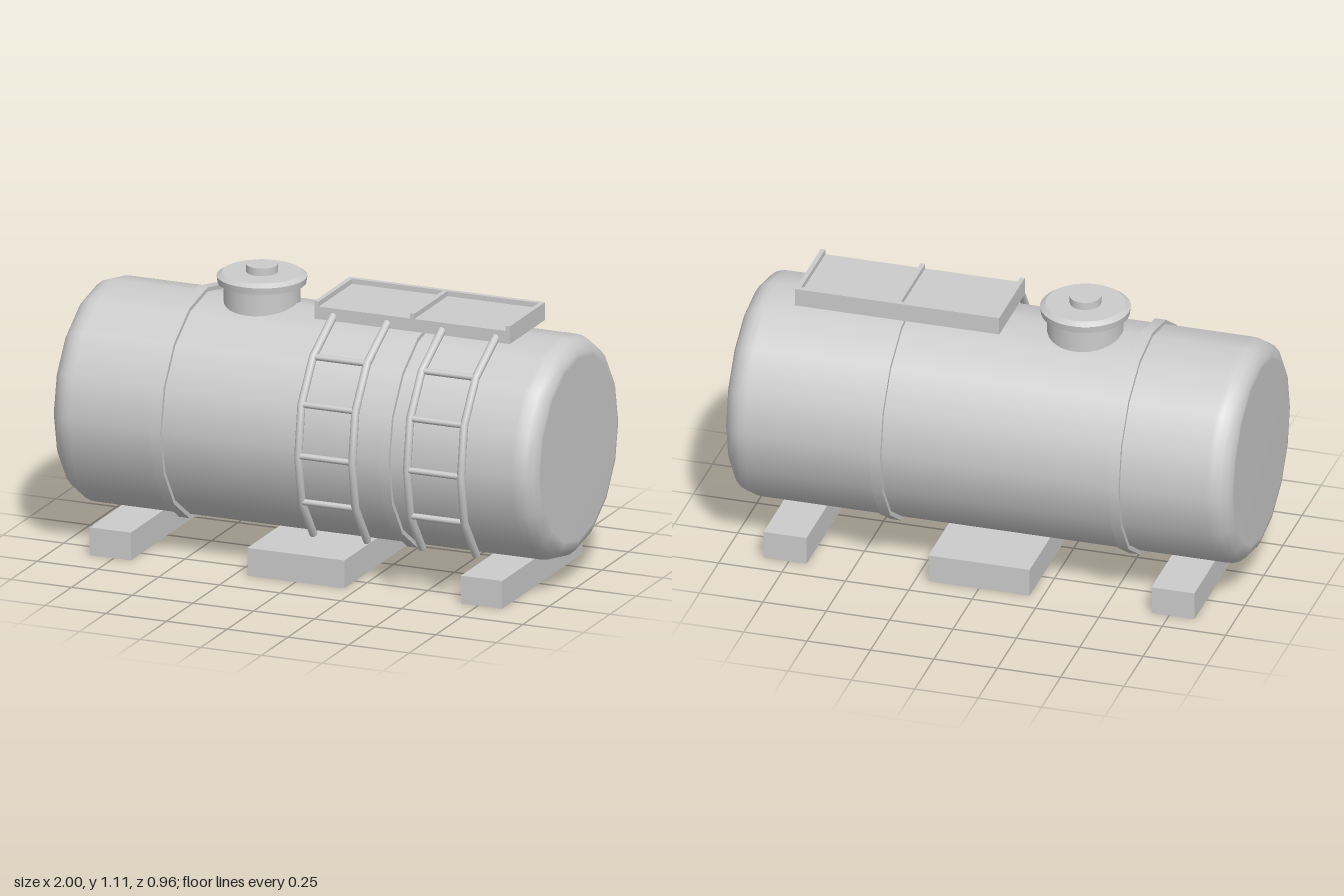
import * as THREE from 'three';

const CY = 0.5415, CZ = -0.03;

// Straight-segment path with averaged tangents at the bends
class Polyline extends THREE.Curve {
  constructor(points) { super(); this.points = points; }
  getPoint(t, target = new THREE.Vector3()) {
    const n = this.points.length - 1;
    const i = Math.min(Math.floor(t * n + 1e-6), n - 1);
    return target.lerpVectors(this.points[i], this.points[i + 1], t * n - i);
  }
  getPointAt(u, target) { return this.getPoint(u, target); }
  getTangentAt(u, target) { return this.getTangent(u, target); }
}

export function createModel() {
  const model = new THREE.Group();
  model.name = 'storageTank';
  const material = new THREE.MeshStandardMaterial({ color: 0xcccccc });

  function add(name, geometry, x = 0, y = 0, z = 0, parent = model) {
    const mesh = new THREE.Mesh(geometry, material);
    mesh.name = name;
    mesh.position.set(x, y, z);
    parent.add(mesh);
    return mesh;
  }
  // Box given by its minimum and maximum corners
  function box(name, a, b, parent = model) {
    const s = b.map((v, i) => v - a[i]);
    const c = b.map((v, i) => (v + a[i]) / 2);
    return add(name, new THREE.BoxGeometry(...s), ...c, parent);
  }

  // Tank body with rounded ends, 16 sides, lying along x
  const half = [[0, 1], [0.36, 1], [0.378, 0.998], [0.402, 0.985], [0.422, 0.962], [0.431, 0.937], [0.4325, 0.91]];
  const profile = [
    ...half.map(([r, x]) => new THREE.Vector2(r, -x)),
    ...half.slice().reverse().map(([r, x]) => new THREE.Vector2(r, x)),
  ];
  add('tankBody', new THREE.LatheGeometry(profile, 16).rotateZ(-Math.PI / 2), 0, CY, CZ);

  // Straps around the tank
  for (const x of [-0.55, 0.39]) {
    add('strap', new THREE.CylinderGeometry(0.449, 0.449, 0.042, 16).rotateZ(-Math.PI / 2), x, CY, CZ);
  }

  // Support blocks
  for (const [x0, x1] of [[-0.85, -0.68], [-0.2, 0.2], [0.68, 0.85]]) {
    box('supportBlock', [x0, 0, -0.41], [x1, 0.11, 0.35]);
  }

  // Hatch: neck, chamfered lid, knob
  const hatch = new THREE.Group();
  hatch.name = 'hatch';
  hatch.position.set(-0.307, 0, -0.035);
  model.add(hatch);
  add('hatchNeck', new THREE.CylinderGeometry(0.145, 0.145, 0.13, 32), 0, 0.985, 0, hatch);
  add('lidRim', new THREE.CylinderGeometry(0.172, 0.168, 0.027, 32), 0, 1.0525, 0, hatch);
  add('lidTop', new THREE.CylinderGeometry(0.152, 0.172, 0.014, 32), 0, 1.073, 0, hatch);
  add('lidKnob', new THREE.CylinderGeometry(0.06, 0.06, 0.035, 24), 0, 1.0925, 0, hatch);

  // Walkway platform, rim open toward the ladders
  const platform = new THREE.Group();
  platform.name = 'platform';
  model.add(platform);
  box('platformDeck', [-0.015, 0.98, -0.195], [0.79, 1.03, 0.14], platform);
  box('backRim', [-0.015, 1.03, -0.195], [0.79, 1.05, -0.175], platform);
  for (const x of [-0.015, 0.378, 0.772]) {
    box('crossRim', [x, 1.03, -0.175], [x + 0.018, 1.05, 0.14], platform);
  }

  // Two bent ladders following the tank side
  const bend = [[0.13, 1.0], [0.325, 0.892], [0.435, 0.735], [0.465, 0.54], [0.435, 0.35], [0.322, 0.19]];
  for (const x0 of [0.06, 0.508]) {
    const ladder = new THREE.Group();
    ladder.name = 'ladder';
    model.add(ladder);
    const width = 0.222;
    for (const x of [x0, x0 + width]) {
      const pts = bend.map(([z, y]) => new THREE.Vector3(x, y, z));
      add('ladderRail', new THREE.TubeGeometry(new Polyline(pts), 5, 0.0155, 12), 0, 0, 0, ladder);
      // End caps facing outward along the rail
      for (const [end, inner] of [[pts[0], pts[1]], [pts[5], pts[4]]]) {
        const cap = add('railCap', new THREE.CircleGeometry(0.0155, 12), end.x, end.y, end.z, ladder);
        cap.lookAt(end.clone().multiplyScalar(2).sub(inner));
      }
    }
    for (const [z, y] of bend.slice(1, 5)) {
      const rung = new THREE.CylinderGeometry(0.012, 0.012, width, 10).rotateZ(Math.PI / 2);
      add('ladderRung', rung, x0 + width / 2, y, z, ladder);
    }
  }
  return model;
}
